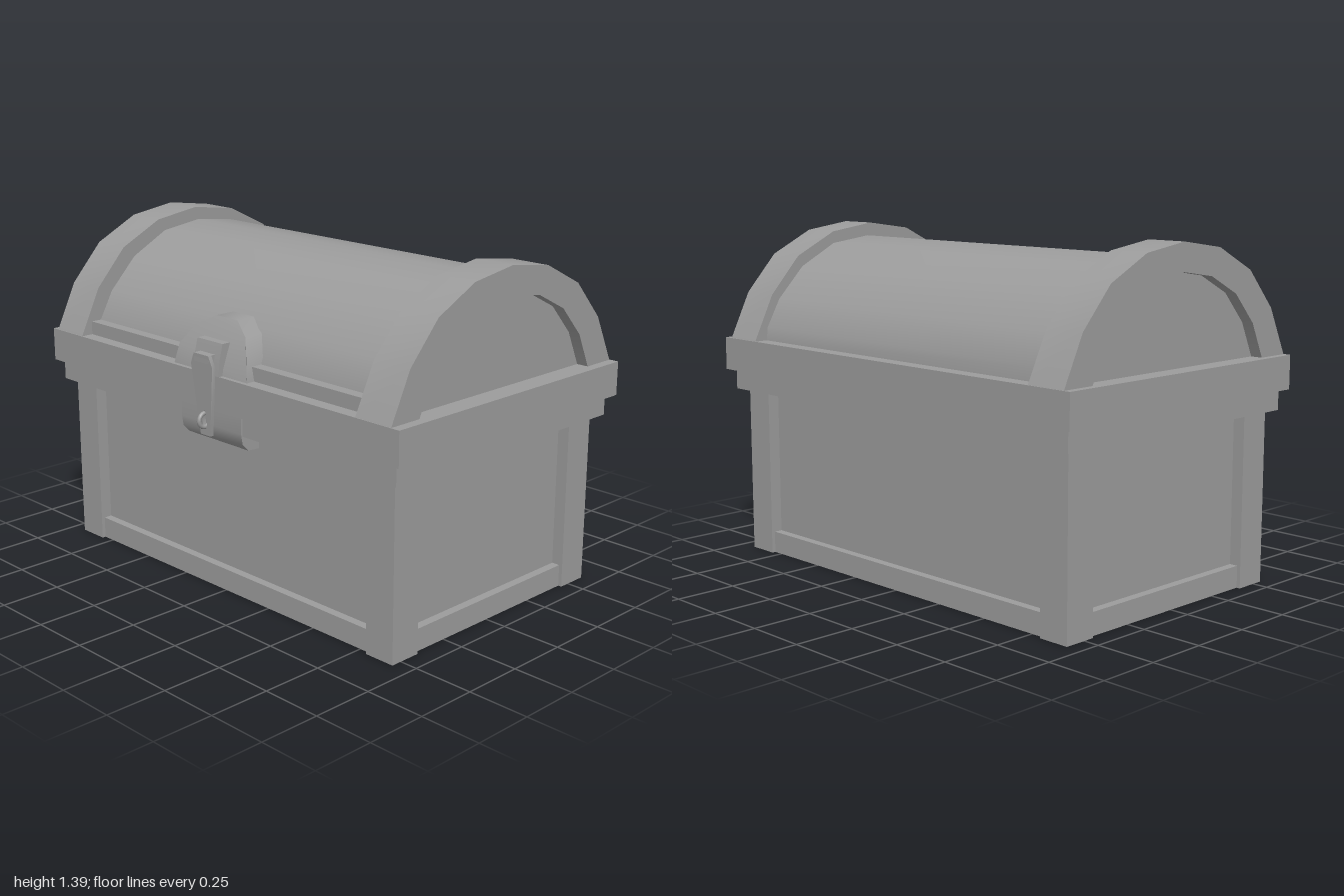
import * as THREE from 'three';
import { toCreasedNormals } from 'three/addons/utils/BufferGeometryUtils.js';

const material = new THREE.MeshStandardMaterial({ color: 0x9c9c9c });
const CX = -0.005, CZ = -0.023; // middle of the chest, shifted back by the latch

export function createModel() {
  const chest = new THREE.Group();
  chest.name = 'chest';

  const add = (name, geometry) => {
    const mesh = new THREE.Mesh(geometry, material);
    mesh.name = name;
    chest.add(mesh);
  };
  // Box given by its limits
  const box = (name, x0, x1, y0, y1, z0, z1) =>
    add(name, new THREE.BoxGeometry(x1 - x0, y1 - y0, z1 - z0)
      .translate((x0 + x1) / 2, (y0 + y1) / 2, (z0 + z1) / 2));
  // Side outline of [z, y] points swept along x
  const prism = (name, points, x0, x1) => {
    const shape = new THREE.Shape(points.map(([z, y]) => new THREE.Vector2(-z, y)));
    const g = new THREE.ExtrudeGeometry(shape, { depth: x1 - x0, bevelEnabled: false });
    g.rotateY(Math.PI / 2).translate(x0, 0, 0);
    add(name, toCreasedNormals(g, 0.6));
  };
  // Half outline mirrored about the first coordinate
  const mirror = (half, c = 0) => [
    ...half.map(([a, y]) => [c + a, y]),
    ...half.filter(([a]) => a > 0).reverse().map(([a, y]) => [c - a, y]),
  ];

  // Body: recessed core, bottom rail and corner posts
  const bw = 0.93, bd = 0.568;
  const slab = (name, w, d, y0, y1, cx = CX) => box(name, cx - w, cx + w, y0, y1, CZ - d, CZ + d);
  slab('bodyPanels', bw - 0.05, bd - 0.05, 0.005, 0.72);
  slab('bottomRail', bw - 0.015, bd - 0.015, 0, 0.09);
  for (const sx of [-1, 1]) for (const sz of [-1, 1]) {
    const x = [CX + sx * bw, CX + sx * (bw - 0.132)].sort((a, b) => a - b);
    const z = [CZ + sz * bd, CZ + sz * (bd - 0.135)].sort((a, b) => a - b);
    box('cornerPost', x[0], x[1], 0, 0.71, z[0], z[1]);
  }

  // Rims of body and lid
  slab('bodyRim', 0.967, 0.606, 0.7, 0.783, -0.002);
  slab('lidRim', 1, 0.633, 0.783, 0.92, 0);

  // Barrel lid with a square rail along its front foot
  prism('lidBarrel', mirror([[0.555, 0.915], [0.548, 0.975], [0.485, 1.09], [0.36, 1.22],
    [0.19, 1.31], [0, 1.335]], -0.04), CX - 0.85, CX + 0.85);
  box('lidFootRail', CX - 0.85, CX + 0.85, 0.915, 0.975, 0.45, 0.555);

  // Arched end bands around recessed end panels
  const outer = mirror([[0.63, 0.92], [0.538, 1.11], [0.398, 1.265], [0.208, 1.36], [0, 1.39]], CZ);
  const inner = mirror([[0.487, 0.92], [0.422, 1.06], [0.312, 1.18], [0.163, 1.255], [0, 1.28]], CZ);
  const band = [...outer, ...inner.slice().reverse()];
  for (const s of [-1, 1]) {
    const a = CX + s * 0.965, b = CX + s * 0.795, p = CX + s * 0.915;
    prism('lidEndBand', band, Math.min(a, b), Math.max(a, b));
    prism('lidEndPanel', inner, Math.min(p, b), Math.max(p, b));
  }

  // Half-round boss on the lid, its face curving back with height
  const bossOutline = mirror([[0.212, 0.92], [0.195, 1.0], [0.145, 1.075], [0.06, 1.12]]);
  const bossShape = new THREE.Shape(bossOutline.map(([x, y]) => new THREE.Vector2(x, y)));
  const boss = new THREE.ExtrudeGeometry(bossShape, { depth: 1, bevelEnabled: false });
  const pos = boss.attributes.position;
  for (let i = 0; i < pos.count; i++) {
    const front = pos.getZ(i) > 0.5;
    pos.setZ(i, front ? 0.592 - 2.3 * (pos.getY(i) - 0.92) ** 2 : 0.4);
  }
  add('latchBoss', toCreasedNormals(boss, 0.6));

  // Hinge block holding the hasp
  prism('hingeBlock', [[0.5, 0.92], [0.612, 0.92], [0.605, 0.98], [0.588, 1.045], [0.5, 1.045]], -0.073, 0.073);

  // Tapered hasp with a slot, leaning in toward the bottom
  const hasp = new THREE.Shape(mirror([
    [0.028, 0.675], [0.062, 0.955], [0.042, 1.0],
  ]).map(([x, y]) => new THREE.Vector2(x, y)));
  const slot = new THREE.Path();
  slot.absellipse(0, 0.737, 0.013, 0.038, 0, Math.PI * 2, true);
  hasp.holes.push(slot);
  const haspGeometry = new THREE.ExtrudeGeometry(hasp, { depth: 0.016, bevelEnabled: false, curveSegments: 6 });
  const hp = haspGeometry.attributes.position;
  for (let i = 0; i < hp.count; i++) hp.setZ(i, hp.getZ(i) + 0.604 + 0.045 * (hp.getY(i) - 0.675));
  add('hasp', toCreasedNormals(haspGeometry, 0.6));
  box('haspKnuckle', -0.042, 0.042, 0.968, 1.0, 0.59, 0.634);

  // Lower catch plate with a chamfered foot, and its staple
  prism('catchPlate', [[0.5, 0.785], [0.59, 0.785], [0.59, 0.71], [0.583, 0.668], [0.555, 0.638],
    [0.5, 0.635]], -0.177, 0.173);
  add('staple', new THREE.TorusGeometry(0.028, 0.009, 8, 16).rotateY(Math.PI / 2).translate(0, 0.737, 0.623));

  return chest;
}
